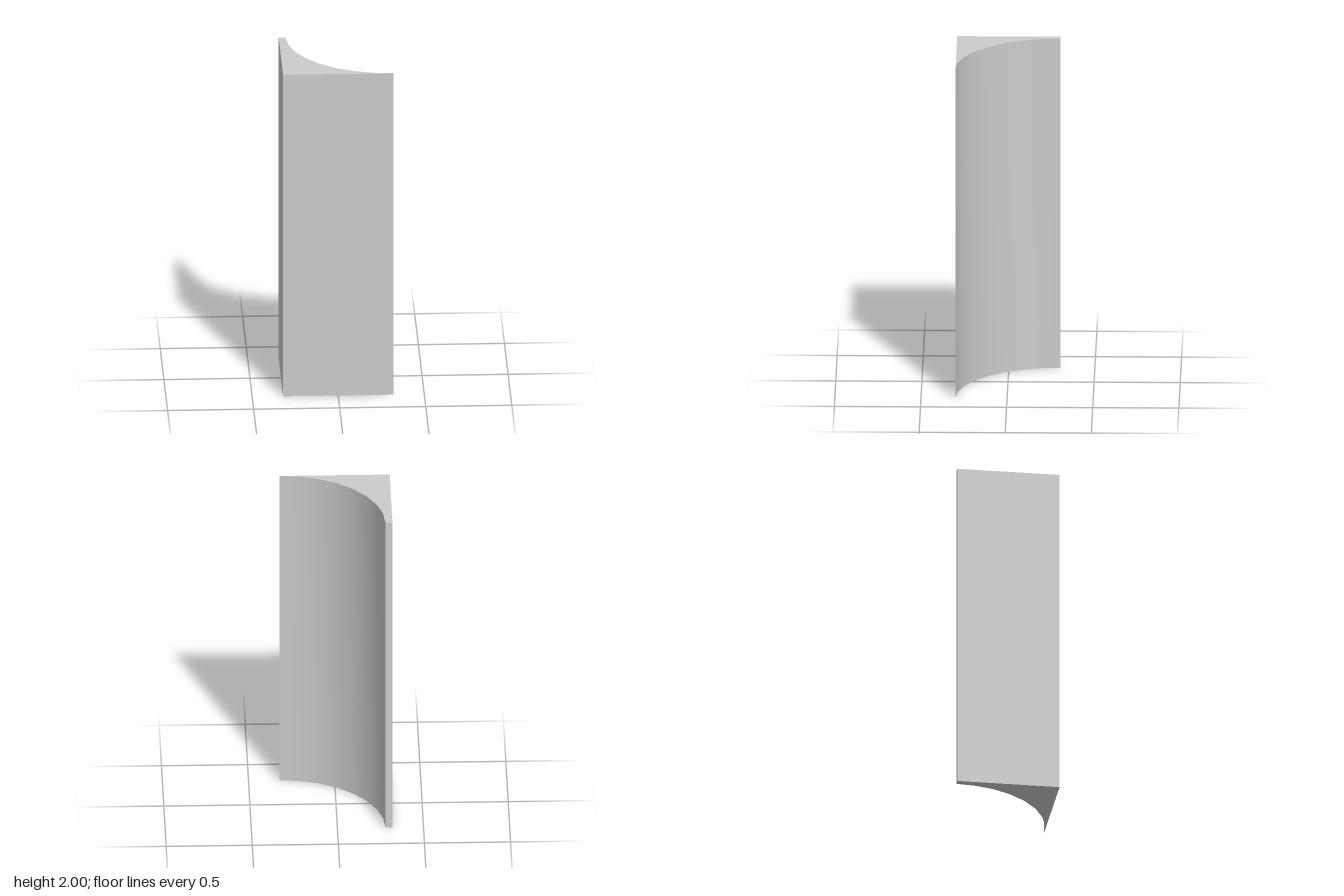
import * as THREE from 'three';
import { toCreasedNormals } from 'three/addons/utils/BufferGeometryUtils.js';

const HALF_WIDTH = 0.32;
const HALF_DEPTH = 0.3;
const HEIGHT = 2;
const COVE_RADIUS = 0.6;
// Facet corners of the cove, in degrees from the narrow lip to the thin edge
const COVE_ANGLES = [0, 11.25, 21.5, 33, 45, 57, 68.5, 78.75, 90];

export function createModel() {
  const group = new THREE.Group();
  group.name = 'coveMoulding';

  // Plan outline (shape y is -z): two flat faces at a right angle, a narrow lip and a concave arc
  const plan = new THREE.Shape();
  plan.moveTo(-HALF_WIDTH, HALF_DEPTH);
  for (const degrees of COVE_ANGLES) {
    const angle = THREE.MathUtils.degToRad(degrees);
    plan.lineTo(
      HALF_WIDTH - COVE_RADIUS * Math.cos(angle),
      HALF_DEPTH - COVE_RADIUS * Math.sin(angle),
    );
  }
  plan.lineTo(-HALF_WIDTH, -HALF_DEPTH);
  plan.closePath();

  const extrusion = new THREE.ExtrudeGeometry(plan, { depth: HEIGHT, bevelEnabled: false });
  extrusion.rotateX(-Math.PI / 2);

  // Smooth cove, sharp edges elsewhere
  const post = new THREE.Mesh(
    toCreasedNormals(extrusion, Math.PI / 6),
    new THREE.MeshStandardMaterial({ color: 0xcccccc }),
  );
  post.name = 'coveCornerPost';
  group.add(post);

  return group;
}
